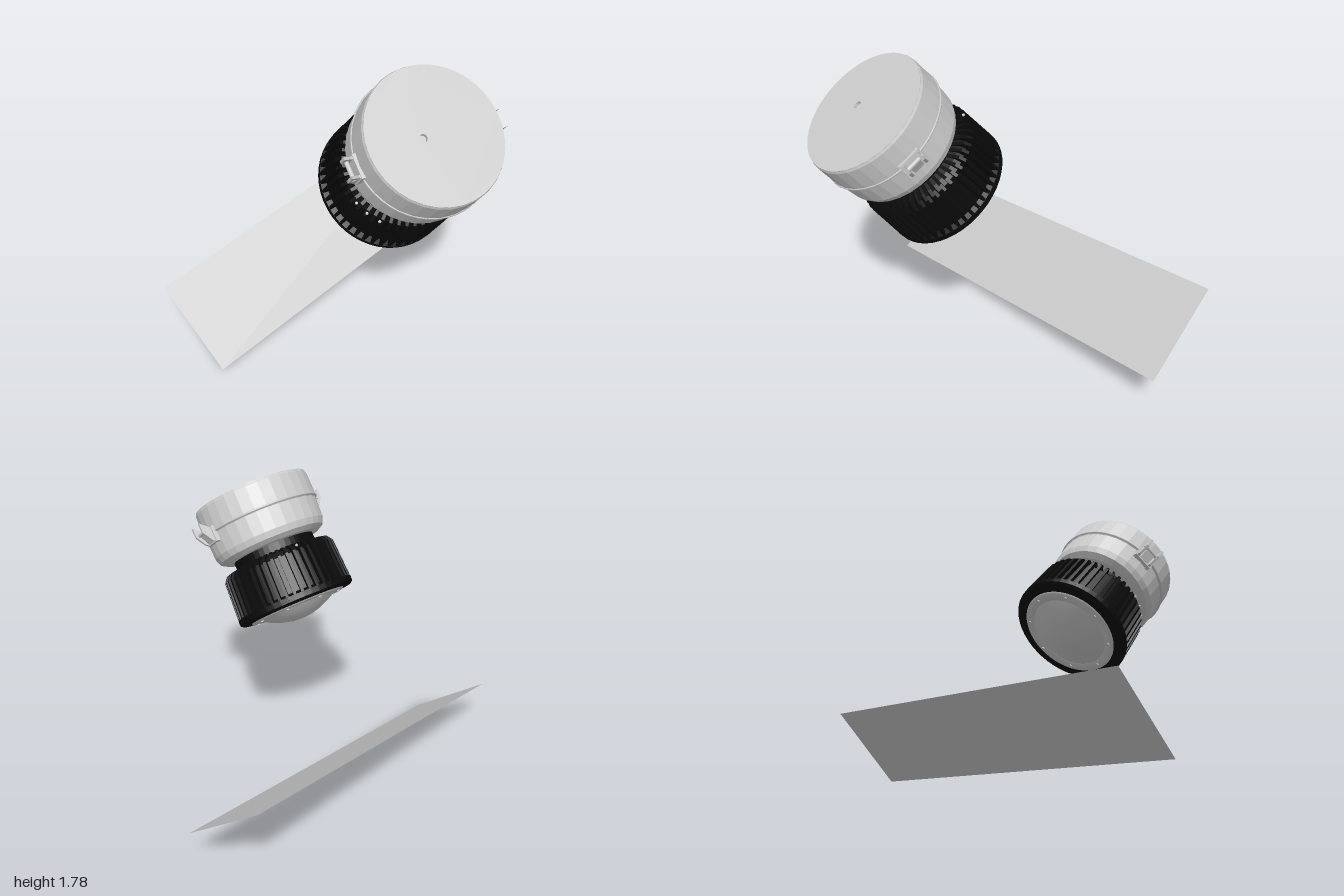
import * as THREE from 'three';

const grey = new THREE.MeshStandardMaterial({ color: 0xcccccc, side: THREE.DoubleSide });
const greyFlat = new THREE.MeshStandardMaterial({ color: 0xcccccc, side: THREE.DoubleSide, flatShading: true });
const black = new THREE.MeshStandardMaterial({ color: 0x0a0a0a, side: THREE.DoubleSide, flatShading: true });

function add(parent, name, geometry, material, x = 0, y = 0, z = 0) {
  const mesh = new THREE.Mesh(geometry, material);
  mesh.name = name;
  mesh.position.set(x, y, z);
  parent.add(mesh);
  return mesh;
}

const vectors = (points) => points.map(([x, y]) => new THREE.Vector2(x, y));
const lathe = (points, sides) => new THREE.LatheGeometry(vectors(points), sides);

// Flat plate from an outline in radius and height, centred on its thickness
function plate(points, thickness) {
  const geometry = new THREE.ExtrudeGeometry(new THREE.Shape(vectors(points)), { depth: thickness, bevelEnabled: false });
  return geometry.translate(0, 0, -thickness / 2);
}

// Clip on the side of the housing: backing, two cheeks, pin and lever
function createLatch(name) {
  const latch = new THREE.Group();
  latch.name = name;
  const cheek = plate([[0.325, -0.215], [0.37, -0.2], [0.41, -0.145], [0.412, -0.09], [0.36, -0.125], [0.325, -0.125]], 0.014);
  for (const z of [-0.045, 0.045]) add(latch, 'latchCheek', cheek, greyFlat, 0, 0, z);
  add(latch, 'latchBacking', new THREE.BoxGeometry(0.03, 0.09, 0.12), greyFlat, 0.34, -0.165, 0);
  add(latch, 'latchPin', new THREE.CylinderGeometry(0.011, 0.011, 0.11, 10).rotateX(Math.PI / 2), grey, 0.385, -0.14, 0);
  const lever = add(latch, 'latchLever', new THREE.BoxGeometry(0.012, 0.07, 0.06), greyFlat, 0.37, -0.17, 0);
  lever.rotation.z = -0.5;
  return latch;
}

function createLamp() {
  const lamp = new THREE.Group();
  lamp.name = 'lamp';

  // Round housing with a chamfered underside
  add(lamp, 'housing', lathe([[0.2, -0.34], [0.28, -0.335], [0.315, -0.315], [0.33, -0.28],
    [0.336, -0.16], [0.342, -0.155], [0.342, -0.13], [0.34, -0.015], [0.334, 0]], 32), greyFlat);
  add(lamp, 'housingSeam', new THREE.TorusGeometry(0.341, 0.006, 6, 48).rotateX(Math.PI / 2), grey, 0, -0.15, 0);

  // Cover disc with a small off-centre hole
  const disc = new THREE.Shape().absarc(0, 0, 0.334, 0, Math.PI * 2);
  disc.holes.push(new THREE.Path().absarc(-0.063, 0, 0.019, 0, Math.PI * 2, true));
  const cover = new THREE.ExtrudeGeometry(disc, { depth: 0.02, bevelEnabled: false, curveSegments: 32 });
  add(lamp, 'cover', cover.rotateX(-Math.PI / 2), grey, 0, -0.02, 0);
  add(lamp, 'holeFloor', new THREE.CylinderGeometry(0.022, 0.022, 0.004, 16), grey, -0.063, -0.02, 0);

  const rightLatch = createLatch('rightLatch');
  rightLatch.rotation.y = Math.PI;
  lamp.add(createLatch('leftLatch'), rightLatch);

  // Heat sink core, neck and bottom rim
  add(lamp, 'heatSinkCore', lathe([[0.23, -0.675], [0.28, -0.692], [0.33, -0.692], [0.346, -0.68],
    [0.346, -0.65], [0.32, -0.635], [0.302, -0.43], [0.28, -0.4], [0.24, -0.385], [0.24, -0.32]], 48), black);

  // Radial cooling fins
  const fin = plate([[0.24, -0.67], [0.346, -0.67], [0.334, -0.425], [0.312, -0.395], [0.24, -0.38]], 0.016);
  const fins = 48;
  for (let i = 0; i < fins; i++) {
    add(lamp, 'fin', fin, black).rotation.y = (i / fins) * Math.PI * 2;
  }

  // Small bright studs on the shoulder
  for (const angle of [2.81, 2.6, 2.38, -1.4]) {
    add(lamp, 'stud', new THREE.SphereGeometry(0.008, 8, 6), grey, 0.322 * Math.cos(angle), -0.405, 0.322 * Math.sin(angle));
  }

  // Lens retaining ring, screws and shallow domed lens
  add(lamp, 'lensRing', lathe([[0.225, -0.68], [0.23, -0.702], [0.275, -0.702], [0.285, -0.69]], 48), grey);
  for (let i = 0; i < 8; i++) {
    const a = (i / 8) * Math.PI * 2;
    add(lamp, 'ringScrew', new THREE.CylinderGeometry(0.009, 0.009, 0.008, 8), grey, 0.254 * Math.cos(a), -0.704, 0.254 * Math.sin(a));
  }
  add(lamp, 'lens', lathe([[0, -0.77], [0.06, -0.766], [0.12, -0.75], [0.18, -0.725], [0.23, -0.697]], 32), grey);
  return lamp;
}

export function createModel() {
  const model = new THREE.Group();
  model.name = 'lampOverPanel';

  // Shared tilt of the lamp and the panel below it
  const tilted = new THREE.Group();
  tilted.name = 'tiltedAssembly';
  tilted.position.set(0, 0.32, -0.083);
  tilted.rotation.set(0.64, 0.647, 0, 'YXZ');
  model.add(tilted);

  add(tilted, 'panel', new THREE.PlaneGeometry(2.12, 0.545).rotateX(-Math.PI / 2).rotateY(0.263), grey);

  const lamp = createLamp();
  lamp.position.set(-0.04, 1.577, 0.01);
  tilted.add(lamp);
  return model;
}
